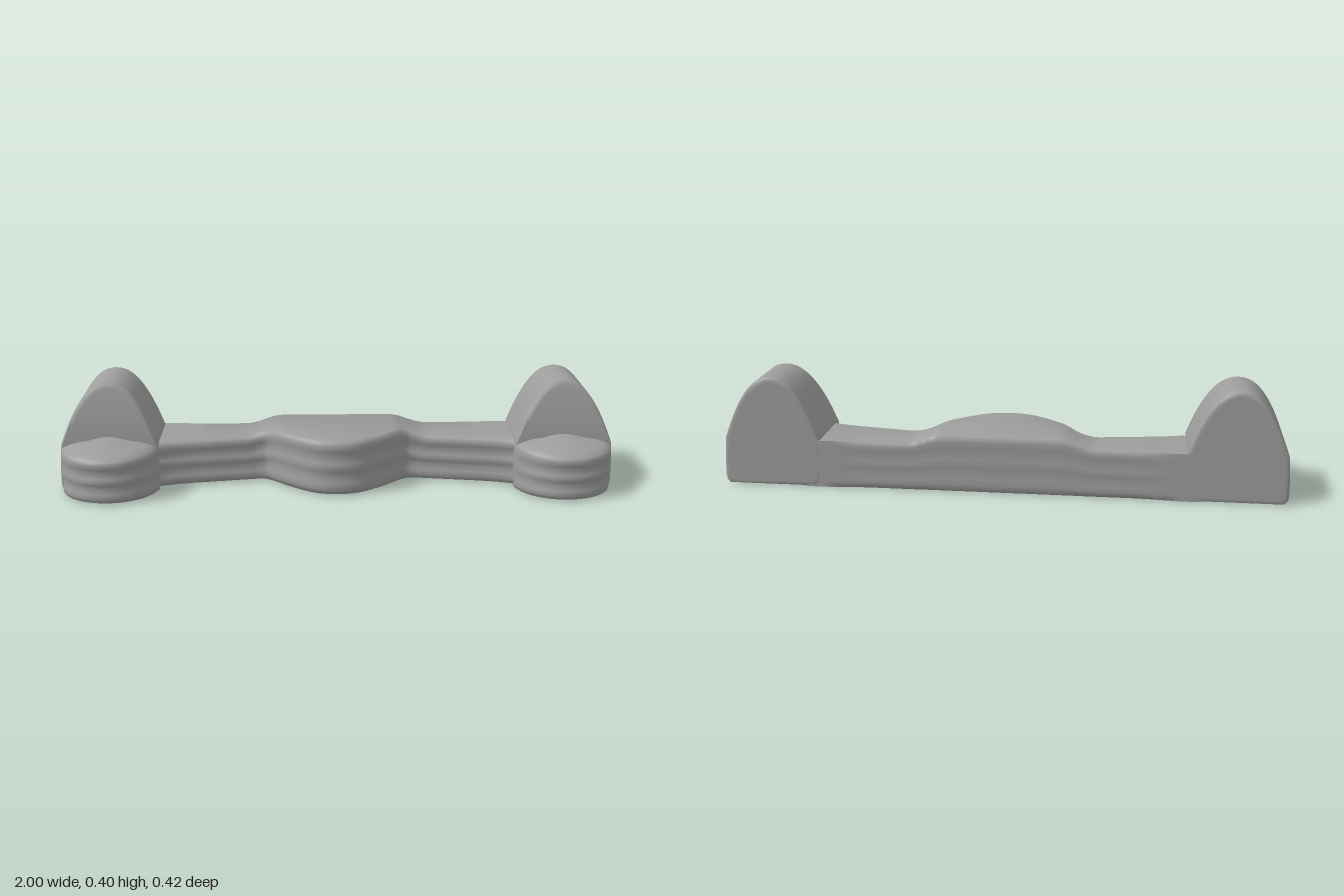
import * as THREE from 'three';
import { toCreasedNormals } from 'three/addons/utils/BufferGeometryUtils.js';

const material = new THREE.MeshStandardMaterial({ color: 0x9d9d9d });

// Skins a list of rings; each ring runs counterclockwise about the loft direction.
function loft(rings, name) {
  const n = rings[0].length, pos = [], index = [];
  rings.forEach(r => r.forEach(p => pos.push(...p)));
  for (let k = 0; k < rings.length - 1; k++) {
    for (let i = 0; i < n; i++) {
      const j = (i + 1) % n, a = k * n, b = a + n;
      index.push(a + i, a + j, b + j, a + i, b + j, b + i);
    }
  }
  // fan caps around the centre of the first and last ring
  [0, rings.length - 1].forEach((k, end) => {
    const c = pos.length / 3;
    pos.push(...[0, 1, 2].map(d => rings[k].reduce((s, p) => s + p[d], 0) / n));
    for (let i = 0; i < n; i++) {
      const a = k * n + i, b = k * n + (i + 1) % n;
      if (end) index.push(c, a, b); else index.push(c, b, a);
    }
  });
  const g = new THREE.BufferGeometry();
  g.setAttribute('position', new THREE.Float32BufferAttribute(pos, 3));
  g.setIndex(index);
  const mesh = new THREE.Mesh(toCreasedNormals(g, 0.9), material);
  mesh.name = name;
  return mesh;
}

// Grooved edge, top to bottom: [inset, fraction of height]
const edge = [[0.022, 1], [0.007, 0.97], [0, 0.9], [0.003, 0.8], [0.01, 0.7], [0.004, 0.59], [0, 0.52],
  [0.004, 0.44], [0.01, 0.34], [0.003, 0.23], [0, 0.13], [0.006, 0.05], [0.02, 0.01], [0.045, 0]];

// Long bar with a raised, bulging middle
function bar() {
  const half = [[0, 0.137], [0.07, 0.125], [0.13, 0.087], [0.19, 0.035], [0.245, -0.02], [0.28, -0.033],
    [0.34, -0.025], [0.45, -0.007], [0.55, 0.01], [0.62, 0.028], [0.7, 0.06]];
  const front = [...half.slice(1).reverse().map(([x, z]) => [-x, z]), ...half];
  const curve = new THREE.SplineCurve(front.map(p => new THREE.Vector2(...p)));
  const rings = curve.getPoints(100).map(({ x, y: zf }) => {
    const h = 0.205 - 0.033 * THREE.MathUtils.smoothstep(Math.abs(x), 0.2, 0.34);
    // shallow grooves on the back fade out toward the ends
    const depth = 0.35 * (1 - THREE.MathUtils.smoothstep(Math.abs(x), 0.45, 0.64));
    const face = edge.map(([d, f]) => [x, f * h, zf - d]);
    const back = edge.map(([d, f]) => [x, f * h, -0.21 + d * depth]).reverse();
    return [...face, ...back];
  });
  return loft(rings, 'bar');
}

// Upright arched block at each end, with a front that leans back
function endArch(side) {
  const cx = 0.82, arc = [];
  for (let i = 0; i <= 32; i++) {
    const t = Math.cos(i / 32 * Math.PI);
    arc.push([cx + t * 0.174, 0.397 - 0.227 * Math.abs(t) ** 2.2]);
  }
  let outline = [[0.985, 0], [0.997, 0.012], [1, 0.03], [0.999, 0.1], ...arc,
    [0.645, 0.1], [0.645, 0.03], [0.648, 0.01], [0.66, 0]];
  outline = outline.map(([x, y]) => [side * x, y]);
  if (side < 0) outline.reverse();
  const slope = y => 0.06 - 0.044 * (Math.max(0, y - 0.17) / 0.227) ** 1.6;
  const ring = (s, z) => outline.map(([x, y]) => {
    const px = side * cx + (x - side * cx) * s, py = 0.17 + (y - 0.17) * s;
    return [px, py, z ?? slope(py)];
  });
  // the front rim is softened by easing the outermost ring back
  const rim = ring(1).map(([x, y, z]) => [x, y, z - 0.007]);
  // the inner back rings keep the rear face flat inside its rounded rim
  return loft([ring(0.5, -0.21), ring(0.9, -0.21), ring(0.955, -0.21), ring(0.985, -0.207), ring(1, -0.197),
    ring(1, -0.18), ring(1, 0), rim, ring(0.97), ring(0.9), ring(0.75), ring(0.5), ring(0.25)], 'endArch');
}

// Rounded, grooved foot in front of each arch, with a domed top
function endLobe(side) {
  const ring = (y, s, inset = 0) => Array.from({ length: 48 }, (_, i) => {
    const a = i / 48 * Math.PI * 2, c = Math.cos(a);
    // the rim climbs slightly toward the sides, where the grooves fade out
    const lift = y > 0.14 && y < 0.19 ? 0.01 * (1 - c * c) * s : 0;
    const groove = inset * Math.max(0, c) ** 0.7;
    return [side * 0.82 + Math.sin(a) * (0.173 * s - groove), y + lift, 0.05 + c * (0.16 * s - groove)];
  });
  const wall = edge.slice(2).reverse().map(([d, f]) => ring(f * 0.162, 1, d));
  const dome = [[0.157, 0.97], [0.168, 0.85], [0.18, 0.65], [0.191, 0.45], [0.2, 0.25], [0.205, 0.08]];
  return loft([...wall, ...dome.map(([y, s]) => ring(y, s))], 'endLobe');
}

export function createModel() {
  const model = new THREE.Group();
  model.name = 'model';
  model.add(bar());
  for (const side of [-1, 1]) {
    const end = new THREE.Group();
    end.name = side > 0 ? 'leftEnd' : 'rightEnd';
    end.add(endArch(side), endLobe(side));
    model.add(end);
  }
  return model;
}
